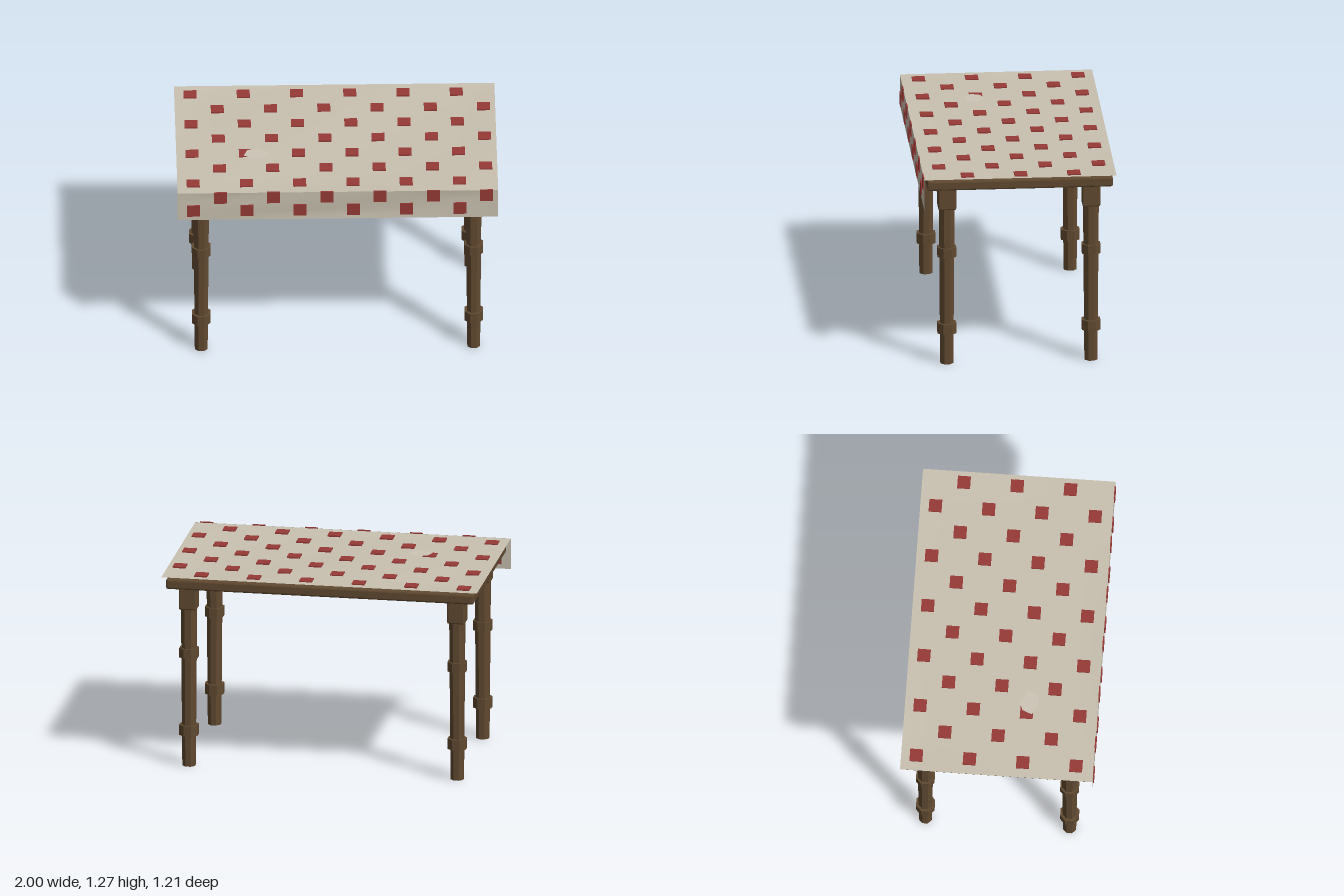
import * as THREE from 'three';
import { RoundedBoxGeometry } from 'three/addons/geometries/RoundedBoxGeometry.js';

export function createModel() {
  const model = new THREE.Group();
  model.name = 'table';

  const material = (name, color, options = {}) => {
    const m = new THREE.MeshStandardMaterial({ color, ...options });
    m.name = name;
    return m;
  };
  const wood = material('brown wood', 0x604930, { flatShading: true });
  const drawerWood = material('light brown wood', 0x7a5632, { flatShading: true });
  const linen = material('linen', 0xc9c1b0, { side: THREE.DoubleSide });
  const stainLinen = material('pale linen', 0xcdc5b5, { side: THREE.DoubleSide });
  const red = material('red cloth', 0x963a36);

  const add = (parent, name, geometry, mat, x = 0, y = 0, z = 0) => {
    const mesh = new THREE.Mesh(geometry, mat);
    mesh.name = name;
    mesh.position.set(x, y, z);
    parent.add(mesh);
    return mesh;
  };
  const bevelled = (w, h, d, r) => new RoundedBoxGeometry(w, h, d, 1, r);

  // Octagonal post between two heights; a0 and a1 are the half widths across flats
  const octagon = (a0, a1, y0, y1) => {
    const k = 1 / Math.cos(Math.PI / 8);
    const g = new THREE.CylinderGeometry(a1 * k, a0 * k, y1 - y0, 8);
    g.rotateY(Math.PI / 8);
    g.translate(0, (y0 + y1) / 2, 0);
    return g;
  };

  // Table top
  const zMid = -0.005;
  add(model, 'tableTop', bevelled(1.95, 0.065, 1.16, 0.012), wood, 0, 1.2085, zMid);

  // Four turned legs with square heads and two collars
  for (const sx of [-1, 1]) {
    for (const sz of [-1, 1]) {
      const leg = new THREE.Group();
      leg.name = `${sz > 0 ? 'front' : 'back'}${sx > 0 ? 'Left' : 'Right'}Leg`;
      leg.position.set(sx * 0.85, 0, zMid + sz * 0.451);
      add(leg, 'legShaft', octagon(0.04, 0.048, 0, 1.03), wood);
      add(leg, 'lowerCollar', octagon(0.058, 0.058, 0.2, 0.267), wood);
      add(leg, 'upperCollar', octagon(0.058, 0.058, 0.705, 0.767), wood);
      add(leg, 'legHead', bevelled(0.112, 0.16, 0.112, 0.01), wood, 0, 1.102, 0);
      model.add(leg);
    }
  }

  // Front apron with a drawer and its knob
  add(model, 'frontApron', new THREE.BoxGeometry(1.62, 0.152, 0.07), wood, 0, 1.1, 0.45);
  const drawer = new THREE.Group();
  drawer.name = 'drawer';
  drawer.position.set(0.25, 1.101, 0);
  add(drawer, 'drawerFront', bevelled(0.66, 0.115, 0.04, 0.01), drawerWood, 0, 0, 0.5);
  const turned = (r, length) => new THREE.CylinderGeometry(r, r, length, 8).rotateX(Math.PI / 2);
  add(drawer, 'knobStem', turned(0.006, 0.04), wood, 0, 0, 0.53);
  add(drawer, 'knob', turned(0.022, 0.034), wood, 0, 0, 0.555);
  model.add(drawer);

  // Cloth: a flat top sheet and a front drape, both gently creased
  const crease = (geometry, w, h, depth) => {
    const p = geometry.attributes.position;
    for (let i = 0; i < p.count; i++) {
      const x = p.getX(i), y = p.getY(i);
      const u = 1 - Math.abs(x) / (w / 2), v = 1 - Math.abs(y) / (h / 2);
      const edge = Math.min(1, u * 6, v * 6);
      const wave = 0.5 + 0.5 * Math.sin(x * 3 - (y / h) * 4);
      p.setZ(i, -depth * edge * wave);
    }
    geometry.computeVertexNormals();
    return geometry;
  };
  const clothY = 1.259, drapeZ = 0.598;
  const sheet = crease(new THREE.PlaneGeometry(2, 1.203, 24, 16), 2, 1.203, 0.007);
  add(model, 'clothTop', sheet.rotateX(-Math.PI / 2), linen, 0, clothY, -0.0035);
  const drape = crease(new THREE.PlaneGeometry(2, 0.199, 24, 6), 2, 0.199, 0.005);
  add(model, 'clothDrape', drape, linen, 0, clothY - 0.0985, drapeZ);

  // Red squares in staggered rows
  const patch = new THREE.BoxGeometry(0.081, 0.009, 0.081);
  const patchUpright = new THREE.BoxGeometry(0.081, 0.081, 0.009);
  const pitch = 0.3323;
  const rowStart = (odd) => (odd ? -0.734 : -0.901);
  for (let row = 0; row < 7; row++) {
    for (let col = 0; col < 6; col++) {
      add(model, 'topPatch', patch, red, rowStart(row % 2) + col * pitch, 1.2605, -0.51 + row * 0.1665);
    }
  }
  [1.225, 1.13].forEach((y, row) => {
    for (let col = 0; col < 6; col++) {
      add(model, 'drapePatch', patchUpright, red, rowStart(row === 0) + col * pitch, y, 0.6);
    }
  });

  // Pale irregular spot lying over one of the squares
  const outline = [[-0.5, 0.105], [-0.425, 0.16], [-0.46, 0.225], [-0.525, 0.222], [-0.58, 0.188], [-0.557, 0.13]];
  const spot = new THREE.Shape(outline.map(([x, z]) => new THREE.Vector2(x, -z)));
  add(model, 'clothSpot', new THREE.ShapeGeometry(spot).rotateX(-Math.PI / 2), stainLinen, 0, 1.2665, 0);

  return model;
}
